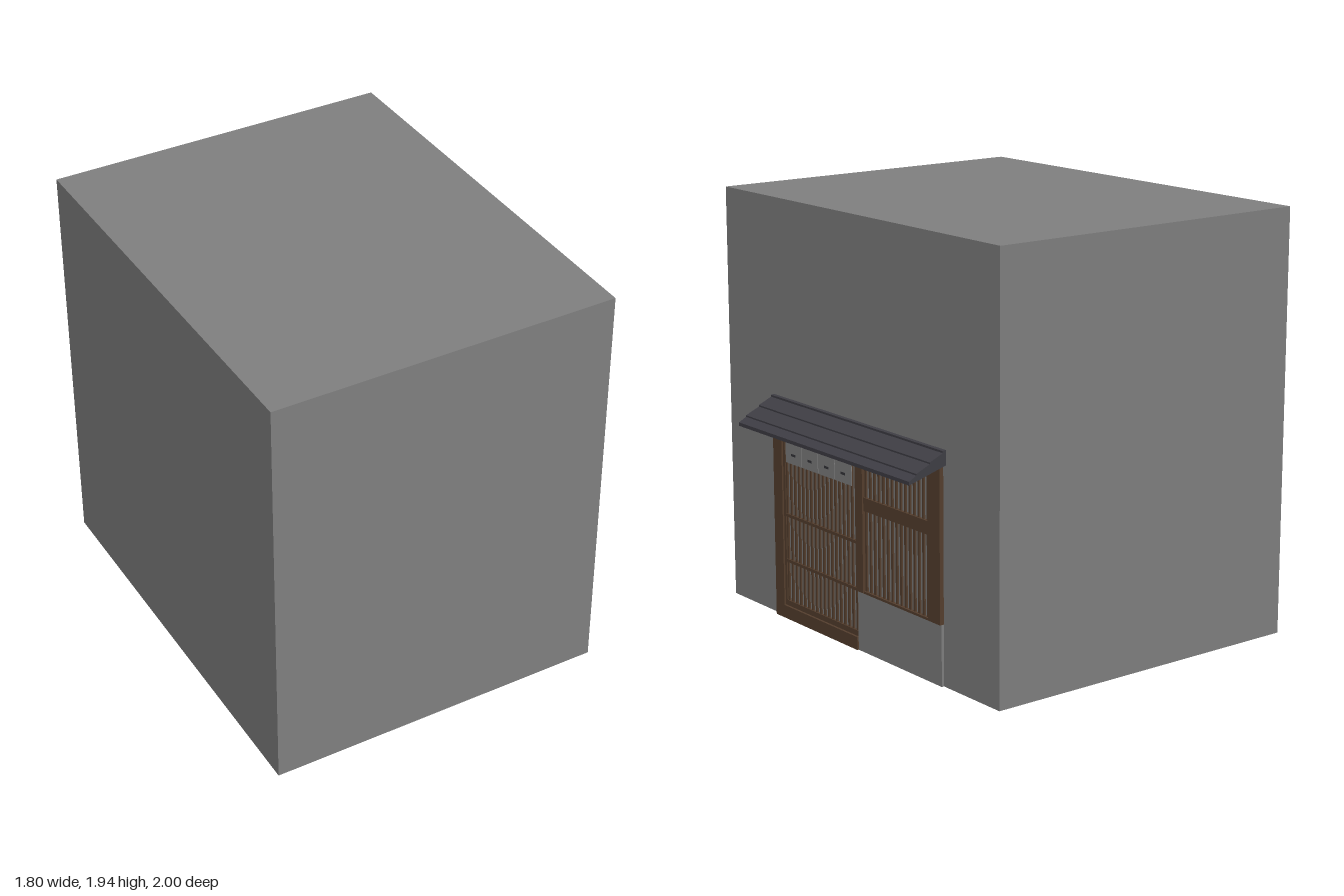
import * as THREE from 'three';

const mat = (name, color) => {
  const m = new THREE.MeshStandardMaterial({ color });
  m.name = name;
  return m;
};

export function createModel() {
  const model = new THREE.Group();
  model.name = 'shopHouse';
  const plaster = mat('plaster grey', 0x808080);
  const wood = mat('brown wood', 0x553f2e);
  const slate = mat('dark roof', 0x3f3e45);
  const ink = mat('dark print', 0x35353a);
  const WALL = 0.705; // x of the facade plane

  // Box given by its extents along x, y and z
  const box = (parent, name, m, x0, x1, y0, y1, z0, z1) => {
    const mesh = new THREE.Mesh(new THREE.BoxGeometry(x1 - x0, y1 - y0, z1 - z0), m);
    mesh.position.set((x0 + x1) / 2, (y0 + y1) / 2, (z0 + z1) / 2);
    mesh.name = name;
    parent.add(mesh);
    return mesh;
  };
  const group = (name) => {
    const g = new THREE.Group();
    g.name = name;
    model.add(g);
    return g;
  };

  // Building body and low wall below the window
  box(model, 'building', plaster, -0.9, WALL, 0, 1.94, -1, 1);
  box(model, 'lowWall', plaster, WALL, 0.717, 0, 0.275, -0.625, -0.02);

  // Timber frame
  const frame = group('frame');
  const beam = (name, y0, y1, z0, z1, x1 = 0.725) => box(frame, name, wood, WALL, x1, y0, y1, z0, z1);
  beam('doorPost', 0, 0.975, 0.555, 0.622);
  beam('centrePost', 0.275, 0.905, -0.07, -0.02);
  beam('endPost', 0.275, 0.975, -0.625, -0.54);
  beam('header', 0.905, 0.975, -0.54, 0.555);
  beam('doorHeader', 0.88, 0.905, -0.02, 0.555, 0.722);
  beam('threshold', 0, 0.06, -0.02, 0.555);

  // A row of evenly spaced upright slats
  const slats = (parent, n, z0, z1, y0, y1, w) => {
    for (let i = 0; i < n; i++) {
      const z = z0 + ((z1 - z0) * i) / (n - 1);
      box(parent, 'slat', wood, WALL, 0.713, y0, y1, z - w / 2, z + w / 2);
    }
  };

  // Sliding lattice door
  const door = group('door');
  slats(door, 18, -0.005, 0.535, 0.085, 0.88, 0.012);
  for (const [y0, y1] of [[0.062, 0.087], [0.27, 0.284], [0.486, 0.5]])
    box(door, 'doorRail', wood, WALL, 0.717, y0, y1, -0.02, 0.555);
  box(door, 'doorStile', wood, WALL, 0.717, 0.087, 0.88, 0.54, 0.555);

  // Lattice window
  const win = group('window');
  slats(win, 15, -0.525, -0.078, 0.28, 0.905, 0.012);
  box(win, 'windowRail', wood, WALL, 0.719, 0.65, 0.71, -0.54, -0.07);
  box(win, 'windowSill', wood, WALL, 0.721, 0.273, 0.284, -0.54, -0.07);

  // Hanging cloth on a rod
  const curtain = group('curtain');
  const rod = new THREE.Mesh(new THREE.CylinderGeometry(0.007, 0.007, 0.58, 8), wood);
  rod.rotation.x = Math.PI / 2;
  rod.position.set(0.726, 0.869, 0.268);
  rod.name = 'rod';
  curtain.add(rod);
  for (let i = 0; i < 4; i++) {
    const z = 0.074 + i * 0.129;
    box(curtain, 'cloth', plaster, 0.72, 0.723, 0.745, 0.866, z - 0.0625, z + 0.0625);
    box(curtain, 'printMark', ink, 0.723, 0.7245, 0.782, 0.793, z - 0.016, z + 0.016);
    box(curtain, 'tie', ink, 0.723, 0.7245, 0.846, 0.856, z - 0.014, z + 0.014);
  }

  // Stepped canopy roof, extruded along z
  const profile = [
    [0.705, 0.972], [0.895, 0.918], [0.895, 0.934],
    [0.857, 0.954], [0.857, 0.961],
    [0.788, 0.991], [0.788, 0.998],
    [0.721, 1.027], [0.721, 1.036], [0.705, 1.038],
  ];
  const roofGeo = new THREE.ExtrudeGeometry(
    new THREE.Shape(profile.map(([x, y]) => new THREE.Vector2(x, y))),
    { depth: 1.28, bevelEnabled: false });
  const roof = new THREE.Mesh(roofGeo, slate);
  roof.position.z = -0.643;
  roof.name = 'canopyRoof';
  model.add(roof);

  return model;
}
